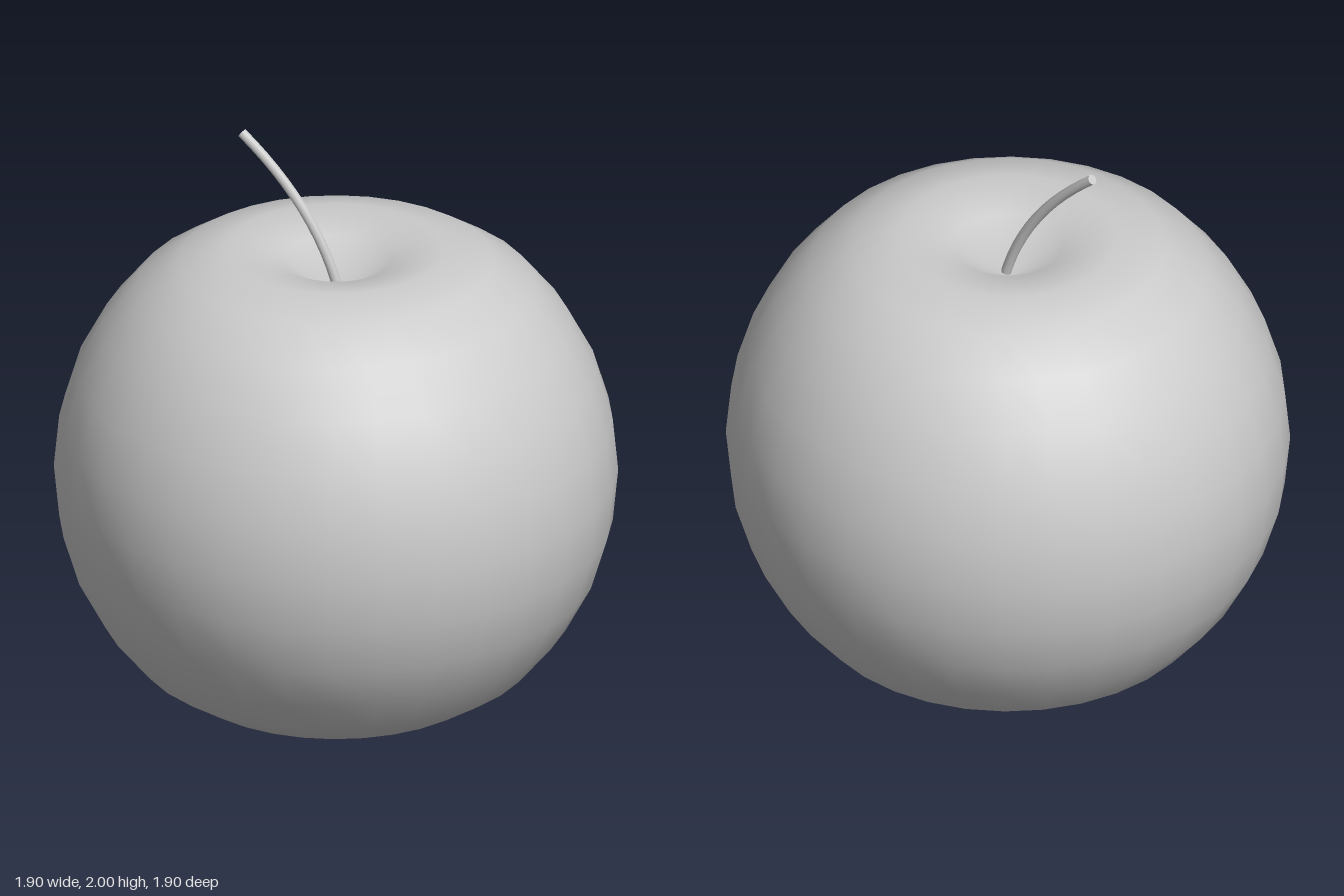
import * as THREE from 'three';
import { mergeVertices } from 'three/addons/utils/BufferGeometryUtils.js';

const RADIUS = 0.95;
const CENTRE_Y = 0.81;
const ROWS = 16;

// How far each sphere row is pushed towards the centre, counted from its pole
const TOP_DIP = [0.3, 0.16, 0.068, 0.025];
const BOTTOM_DIP = [0.23, 0.155, 0.068, 0.025];

const material = () => new THREE.MeshStandardMaterial({ color: 0xcccccc });

// Sphere with a dimple at both poles, welded for smooth shading all round
function createFruit() {
  let geometry = new THREE.SphereGeometry(RADIUS, 32, ROWS);
  const pos = geometry.attributes.position;
  for (let i = 0; i < pos.count; i++) {
    const y = pos.getY(i);
    const row = Math.round(Math.acos(THREE.MathUtils.clamp(y / RADIUS, -1, 1)) / Math.PI * ROWS);
    const dip = (TOP_DIP[row] ?? 0) - (BOTTOM_DIP[ROWS - row] ?? 0);
    pos.setY(i, y - dip);
  }
  geometry.deleteAttribute('uv');
  geometry.deleteAttribute('normal');
  geometry = mergeVertices(geometry, 1e-4);
  geometry.computeVertexNormals();
  const fruit = new THREE.Mesh(geometry, material());
  fruit.name = 'fruitBody';
  fruit.position.y = CENTRE_Y;
  return fruit;
}

// Thin curved stem with closed ends
function createStem() {
  const radius = 0.018;
  const stem = new THREE.Group();
  stem.name = 'stem';
  const curve = new THREE.QuadraticBezierCurve3(
    new THREE.Vector3(0.015, 1.44, 0),
    new THREE.Vector3(-0.06, 1.75, -0.01),
    new THREE.Vector3(-0.34, 1.985, -0.07)
  );
  const shaft = new THREE.Mesh(new THREE.TubeGeometry(curve, 12, radius, 8), material());
  shaft.name = 'stemShaft';
  stem.add(shaft);

  for (const [t, sign, name] of [[0, -1, 'stemBase'], [1, 1, 'stemTip']]) {
    const cap = new THREE.Mesh(new THREE.CircleGeometry(radius, 8), material());
    cap.name = name;
    cap.position.copy(curve.getPoint(t));
    cap.quaternion.setFromUnitVectors(
      new THREE.Vector3(0, 0, 1),
      curve.getTangent(t).multiplyScalar(sign)
    );
    stem.add(cap);
  }
  return stem;
}

export function createModel() {
  const model = new THREE.Group();
  model.name = 'apple';
  model.add(createFruit(), createStem());
  return model;
}
